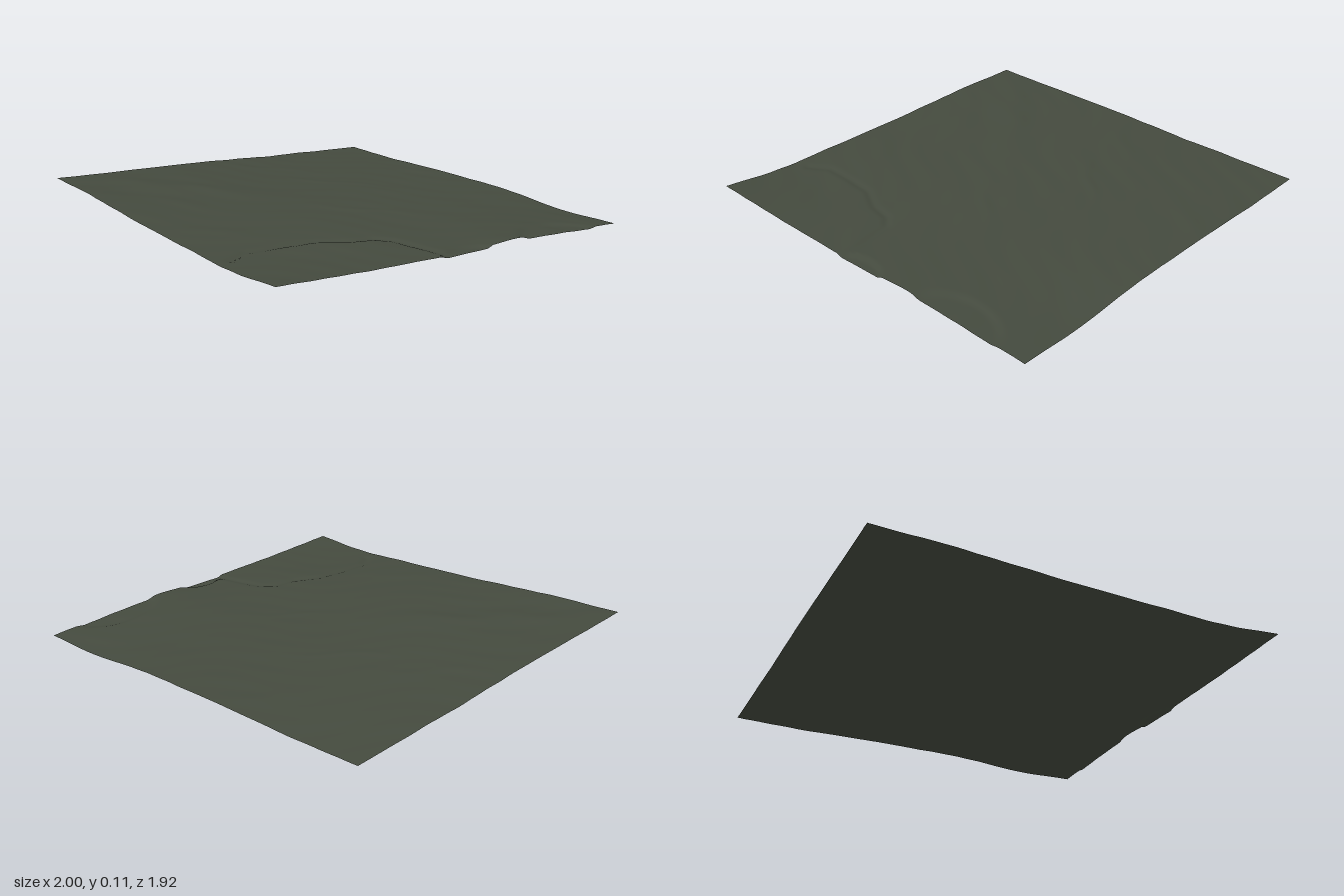
import * as THREE from 'three';

const HALF_X = 1, HALF_Z = 0.96;

// Broad heights: rows run back to front, columns from -x to +x
const HEIGHTS = [
  [0.035, 0.031, 0.034, 0.036, 0.031, 0.007, 0.012],
  [0.049, 0.047, 0.046, 0.045, 0.042, 0.032, 0.036],
  [0.061, 0.060, 0.058, 0.056, 0.054, 0.052, 0.056],
  [0.080, 0.075, 0.070, 0.066, 0.061, 0.056, 0.055],
  [0.094, 0.090, 0.085, 0.079, 0.073, 0.067, 0.064],
  [0.104, 0.101, 0.093, 0.084, 0.079, 0.069, 0.080],
  [0.115, 0.113, 0.099, 0.086, 0.081, 0.074, 0.100],
];

// Streambed and hollow outlines as [x, z] points
const CHANNEL = [[0.97, 0.1], [0.85, 0.12], [0.7, 0.15], [0.64, 0.21], [0.62, 0.32], [0.54, 0.46], [0.52, 0.62], [0.51, 0.78], [0.57, 0.88]];
const HOLLOWS = [
  { x: 1.02, z: -0.58, rx: 0.17, rz: 0.23, depth: 0.01 },
  { x: 1.02, z: -0.01, rx: 0.08, rz: 0.14, depth: 0.011 },
];

// Diagonal folds: centre, half length, width and height
const FOLDS = [
  [-0.55, 0.5, 0.5, 0.07, 0.006],
  [-0.45, 0.66, 0.45, 0.08, -0.004],
  [-0.25, -0.28, 0.25, 0.03, 0.004],
  [-0.7, -0.15, 0.25, 0.04, 0.003],
  [0.25, -0.05, 0.2, 0.03, 0.003],
  [-0.3, -0.82, 0.25, 0.05, 0.003],
  [0.15, 0.8, 0.25, 0.05, 0.003],
];

function cubic(p, t) {
  const last = p.length - 1;
  const i = Math.min(Math.floor(t * last), last - 1), f = t * last - i;
  const b = p[i], c = p[i + 1];
  const a = i > 0 ? p[i - 1] : 2 * b - c;
  const d = i + 2 <= last ? p[i + 2] : 2 * c - b;
  return b + 0.5 * f * (c - a + f * (2 * a - 5 * b + 4 * c - d + f * (3 * (b - c) + d - a)));
}

function distanceToPath(x, z, path) {
  let best = Infinity;
  for (let i = 0; i < path.length - 1; i++) {
    const [ax, az] = path[i], dx = path[i + 1][0] - ax, dz = path[i + 1][1] - az;
    const t = THREE.MathUtils.clamp(((x - ax) * dx + (z - az) * dz) / (dx * dx + dz * dz), 0, 1);
    best = Math.min(best, Math.hypot(x - ax - t * dx, z - az - t * dz));
  }
  return best;
}

function heightAt(x, z) {
  const tx = (x + HALF_X) / (2 * HALF_X), tz = (z + HALF_Z) / (2 * HALF_Z);
  let h = cubic(HEIGHTS.map((row) => cubic(row, tx)), tz);

  // Folds run from front left to back right
  for (const [cx, cz, length, width, height] of FOLDS) {
    const along = (x - cx) * 0.77 - (z - cz) * 0.64;
    const across = (x - cx) * 0.64 + (z - cz) * 0.77 + 0.02 * Math.sin(along * 14);
    h += height * Math.exp(-((along / length) ** 2) - (across / width) ** 2);
  }

  // Fine wrinkles in the same direction
  const u = x * 0.77 - z * 0.64, v = x * 0.64 + z * 0.77;
  h += 0.0012 * Math.sin(v * 21 + 2 * Math.sin(u * 4)) * Math.sin(u * 6 + v * 3 + 1);
  h += 0.0006 * Math.sin(v * 43 + 3 * Math.sin(u * 7 + 1));

  // Sunken streambed and hollows at the +x edge
  h -= 0.007 * Math.exp(-((distanceToPath(x, z, CHANNEL) / 0.018) ** 2));
  for (const p of HOLLOWS) {
    const r = Math.hypot((x - p.x) / p.rx, (z - p.z) / p.rz);
    h -= p.depth * (1 - THREE.MathUtils.smoothstep(r, 0.85, 1.1));
  }
  return h;
}

export function createModel() {
  const group = new THREE.Group();
  group.name = 'terrainPatch';

  const ground = new THREE.MeshStandardMaterial({ color: 0x444a3e, side: THREE.DoubleSide });
  ground.name = 'dark moss green';

  // Gently sloping sheet of land
  const geometry = new THREE.PlaneGeometry(2 * HALF_X, 2 * HALF_Z, 140, 134);
  geometry.rotateX(-Math.PI / 2);
  const pos = geometry.attributes.position;
  for (let i = 0; i < pos.count; i++) pos.setY(i, heightAt(pos.getX(i), pos.getZ(i)));
  geometry.computeBoundingBox();
  geometry.translate(0, -geometry.boundingBox.min.y, 0);
  geometry.computeVertexNormals();

  const terrain = new THREE.Mesh(geometry, ground);
  terrain.name = 'terrainSurface';
  group.add(terrain);
  return group;
}
